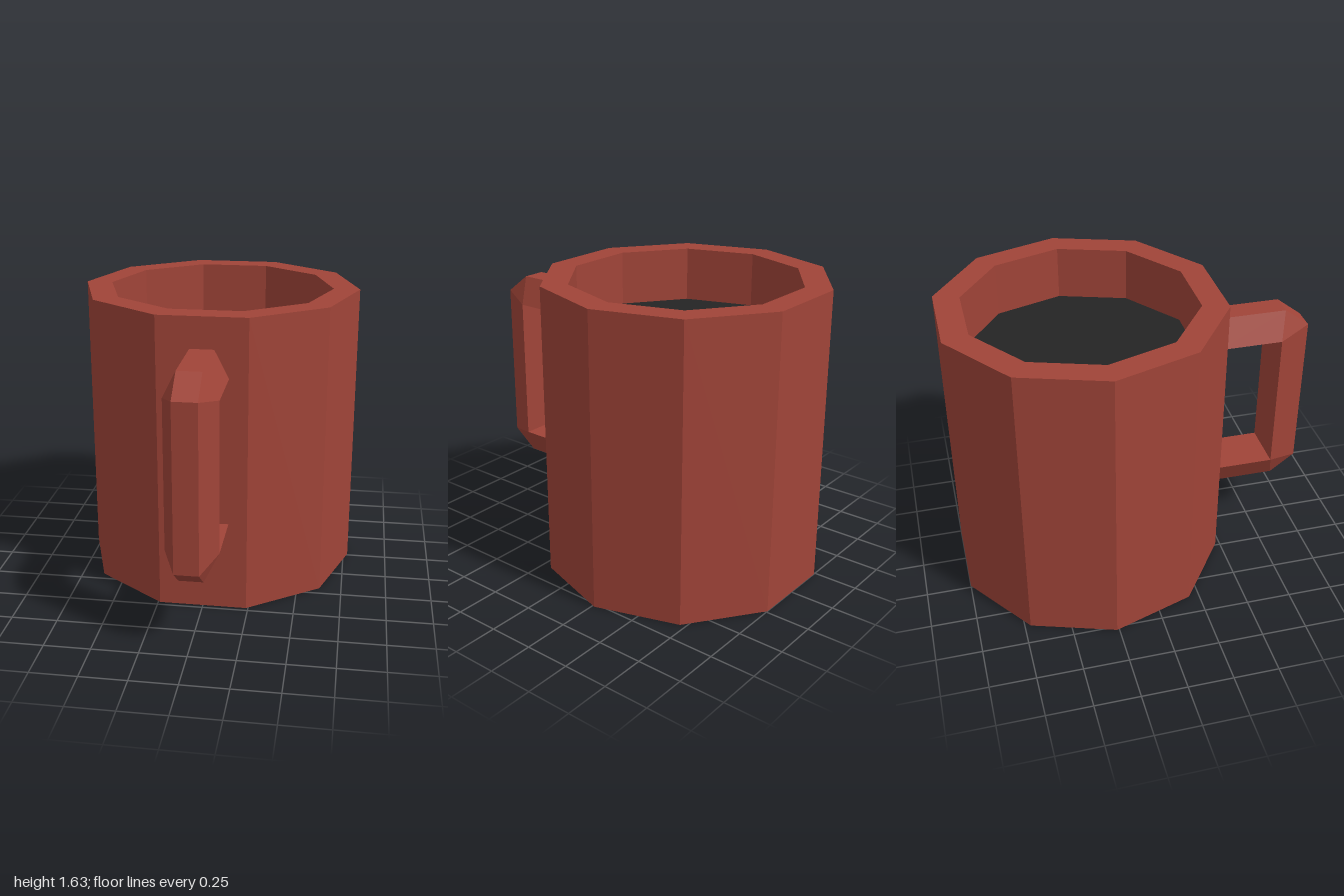
import * as THREE from 'three';

const SIDES = 10, RADIUS = 0.775, INNER = 0.63, HEIGHT = 1.63, LIQUID_Y = 1.33, BODY_Z = -0.263;

// Handle: trapezoid cross-sections, each [inner y, inner z, outer y, outer z]
function handleGeometry() {
  const innerHalf = 0.14, outerHalf = 0.064;
  const sections = [
    [1.31, 0.46, 1.46, 0.46],
    [1.31, 0.823, 1.46, 0.86],
    [1.31, 0.823, 1.353, 1.0],
    [0.5, 0.823, 0.458, 1.0],
    [0.5, 0.823, 0.352, 0.86],
    [0.5, 0.46, 0.352, 0.46],
  ].map(([iy, iz, oy, oz]) => [
    new THREE.Vector3(-innerHalf, iy, iz),
    new THREE.Vector3(-outerHalf, oy, oz),
    new THREE.Vector3(outerHalf, oy, oz),
    new THREE.Vector3(innerHalf, iy, iz),
  ]);
  const points = [];
  const triangle = (a, b, c) => {
    if (!a.equals(b) && !b.equals(c) && !c.equals(a)) points.push(a, b, c);
  };
  for (let i = 0; i < sections.length - 1; i++) {
    for (let j = 0; j < 4; j++) {
      const k = (j + 1) % 4;
      const a = sections[i][j], b = sections[i][k];
      const c = sections[i + 1][k], d = sections[i + 1][j];
      triangle(a, d, c);
      triangle(a, c, b);
    }
  }
  const geometry = new THREE.BufferGeometry().setFromPoints(points);
  geometry.computeVertexNormals();
  return geometry;
}

export function createModel() {
  const group = new THREE.Group();
  group.name = 'mug';
  const clay = new THREE.MeshStandardMaterial({ name: 'red clay', color: 0xa04438, flatShading: true });
  const coffee = new THREE.MeshStandardMaterial({ name: 'dark coffee', color: 0x242424, flatShading: true });

  const add = (name, geometry, material) => {
    const mesh = new THREE.Mesh(geometry, material);
    mesh.name = name;
    group.add(mesh);
    return mesh;
  };

  // Ten-sided cup: base, outer wall, rim and inner wall
  const profile = [[0, 0], [RADIUS, 0], [RADIUS, HEIGHT], [INNER, HEIGHT], [INNER, LIQUID_Y]]
    .map(([x, y]) => new THREE.Vector2(x, y));
  add('cup', new THREE.LatheGeometry(profile, SIDES, Math.PI / 2), clay).position.z = BODY_Z;

  // Drink surface
  const drink = add('drink', new THREE.CircleGeometry(INNER, SIDES), coffee);
  drink.rotation.x = -Math.PI / 2;
  drink.position.set(0, LIQUID_Y, BODY_Z);

  add('handle', handleGeometry(), clay);
  return group;
}
